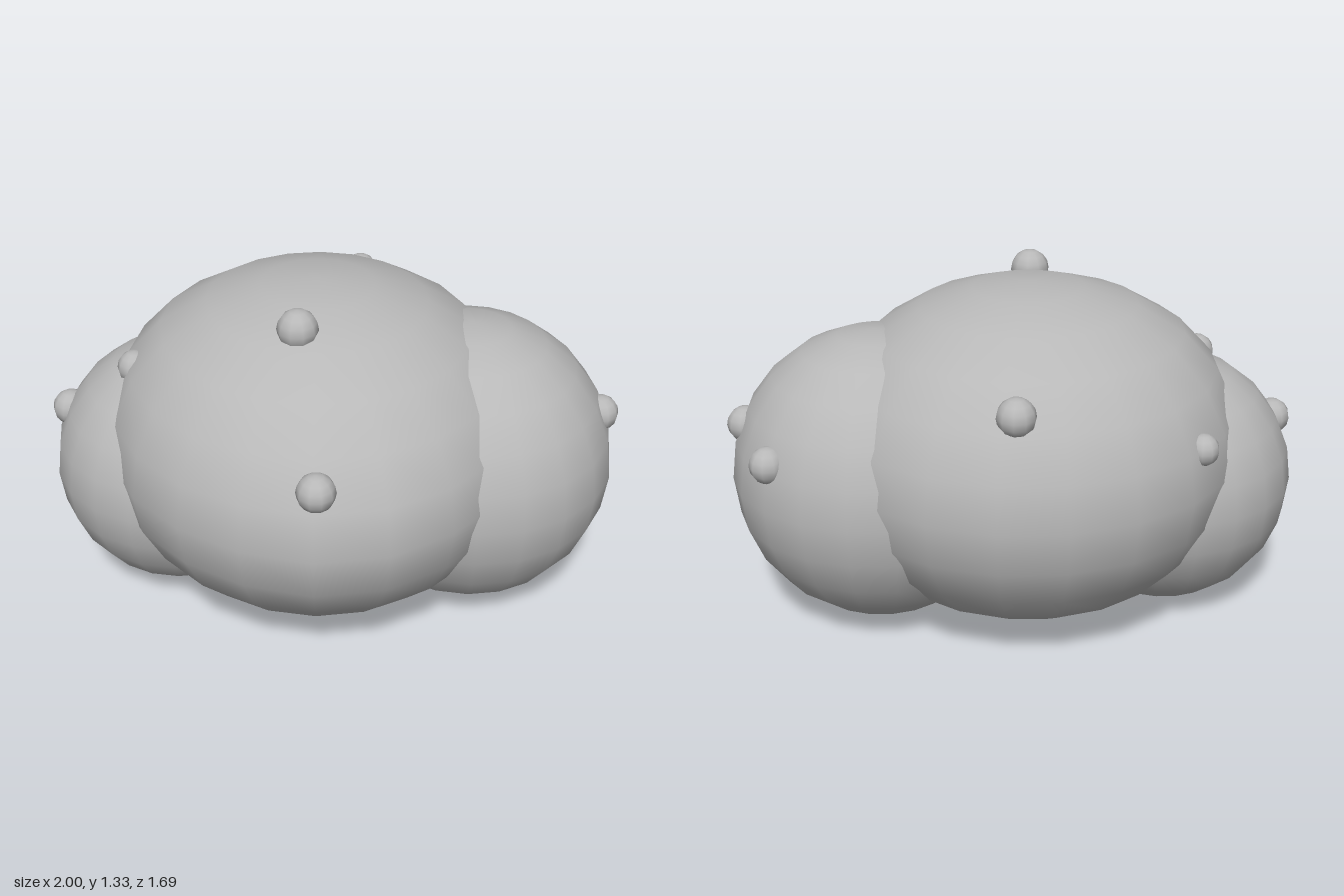
import * as THREE from 'three';

export function createModel() {
  const group = new THREE.Group();
  const stone = new THREE.MeshStandardMaterial({ color: 0xb8b8b8 });
  stone.name = 'stone grey';

  const lobeGeometry = new THREE.SphereGeometry(1, 20, 12);
  const pebbleGeometry = new THREE.SphereGeometry(1, 10, 8);

  function addEllipsoid(name, geometry, centre, radii) {
    const mesh = new THREE.Mesh(geometry, stone);
    mesh.name = name;
    mesh.position.set(...centre);
    mesh.scale.set(...radii);
    group.add(mesh);
  }

  // Unit sphere pushed out (or in) softly around a few directions
  function bulgedSphere(bulges) {
    const geometry = lobeGeometry.clone();
    const position = geometry.attributes.position;
    const normal = geometry.attributes.normal;
    const p = new THREE.Vector3();
    const n = new THREE.Vector3();
    for (let i = 0; i < position.count; i++) {
      p.fromBufferAttribute(position, i);
      n.copy(p);
      let radius = 1;
      for (const [direction, amount] of bulges) {
        const d = Math.max(0, p.dot(direction));
        radius += amount * d ** 8;
        // tilt the normal away from the slope of the bulge
        const slope = direction.clone().addScaledVector(p, -p.dot(direction));
        n.addScaledVector(slope, -8 * amount * d ** 7);
      }
      n.normalize();
      p.multiplyScalar(radius);
      position.setXYZ(i, p.x, p.y, p.z);
      normal.setXYZ(i, n.x, n.y, n.z);
    }
    return geometry;
  }

  // Three overlapping boulders, the main one slightly uneven
  const mainGeometry = bulgedSphere([
    [new THREE.Vector3(1, 0, 1).normalize(), 0.05],
    [new THREE.Vector3(-1, 0, -1).normalize(), -0.012],
    [new THREE.Vector3(-0.65, 0.65, 0.35).normalize(), 0.025],
  ]);
  addEllipsoid('mainBoulder', mainGeometry, [-0.042, 0.652, 0.025], [0.818, 0.65, 0.818]);
  addEllipsoid('backBoulder', lobeGeometry, [0.435, 0.572, -0.293], [0.565, 0.568, 0.552]);
  addEllipsoid('frontBoulder', lobeGeometry, [-0.51, 0.503, 0.302], [0.49, 0.498, 0.5]);

  // Small pebbles half sunk into the boulders: x, y, z, radius
  const pebbles = [
    [0.085, 1.257, 0.31, 0.075],
    [0.422, 0.893, 0.648, 0.07],
    [-0.56, 0.96, 0.48, 0.067],
    [-0.86, 0.71, 0.552, 0.071],
    [-0.29, 1.025, -0.585, 0.071],
    [-0.798, 0.815, -0.11, 0.06],
    [0.61, 0.745, -0.772, 0.07],
    [0.862, 0.778, -0.553, 0.07],
  ];
  pebbles.forEach(([x, y, z, r], i) => {
    addEllipsoid(`pebble${i + 1}`, pebbleGeometry, [x, y, z], [r, r, r]);
  });

  return group;
}
